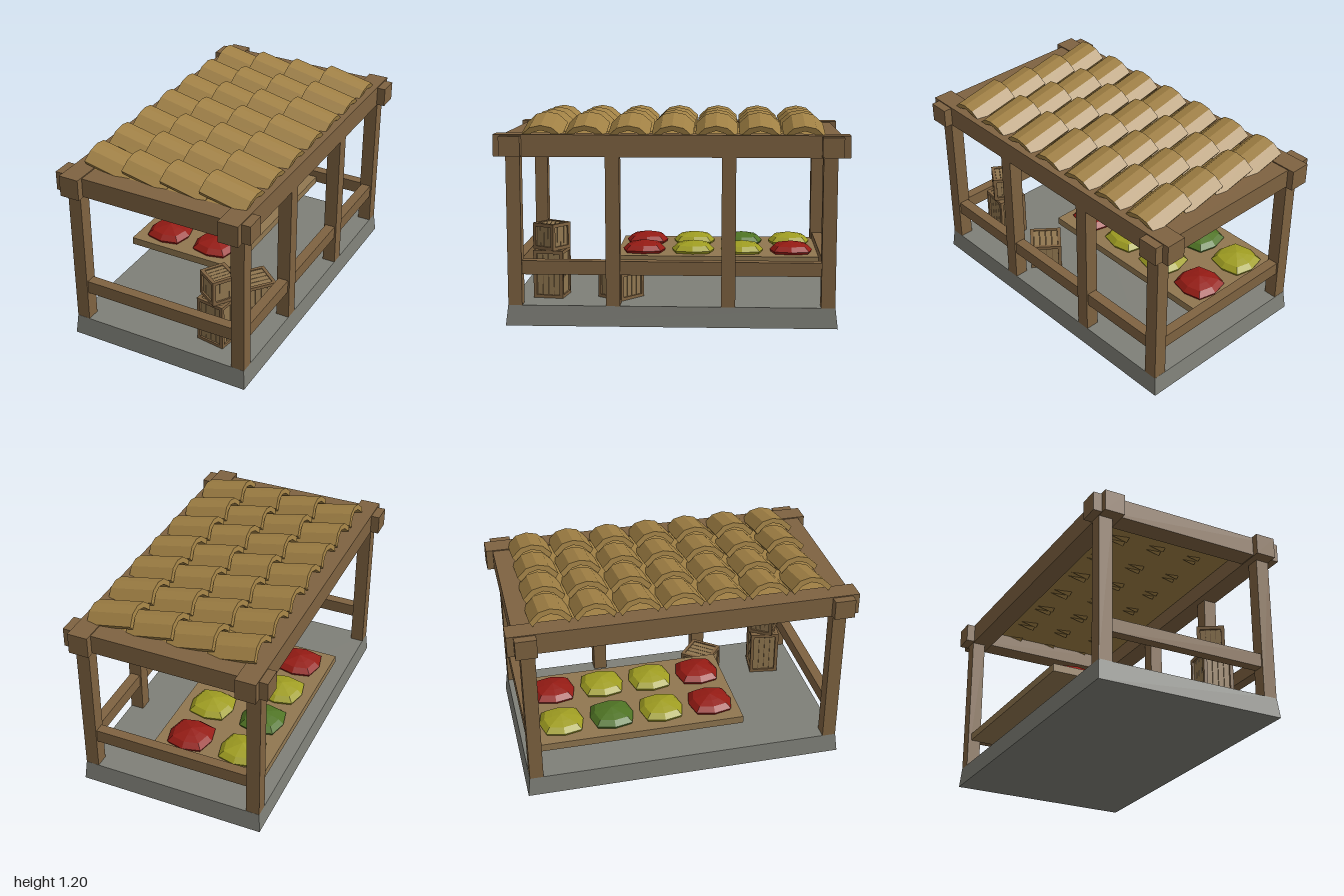
import * as THREE from 'three';

const paint = (color) => new THREE.MeshStandardMaterial({ color, flatShading: true });
const WOOD = paint(0x7f6341), PLANK = paint(0x917750), DARK = paint(0x6a5236), TILE = paint(0xa08044);
const STONE = paint(0x7f8078), RED = paint(0x951b14), YELLOW = paint(0xa09e22), GREEN = paint(0x4f7424);

function add(parent, name, geometry, material, x = 0, y = 0, z = 0) {
  const mesh = new THREE.Mesh(geometry, material);
  mesh.name = name;
  mesh.position.set(x, y, z);
  parent.add(mesh);
  return mesh;
}

// Box given by its lower and upper limits on each axis
function block(parent, name, material, [x0, x1], [y0, y1], [z0, z1]) {
  return add(parent, name, new THREE.BoxGeometry(x1 - x0, y1 - y0, z1 - z0), material,
    (x0 + x1) / 2, (y0 + y1) / 2, (z0 + z1) / 2);
}

// Stone slab that narrows slightly towards the top
function plinth() {
  const g = new THREE.BoxGeometry(1.12, 0.118, 1.89);
  const p = g.attributes.position;
  for (let i = 0; i < p.count; i++) {
    if (p.getY(i) > 0) p.setXYZ(i, p.getX(i) * 0.982, p.getY(i), p.getZ(i) * 0.985);
  }
  g.computeVertexNormals();
  return g;
}

// Arched roof tile running along +x from its high end
function tileGeometry(length) {
  const half = [[0.118, 0.026], [0.064, 0.076], [0, 0.09]];
  const inner = [[0, 0.062], [0.052, 0.046], [0.1, 0]];
  const flip = ([x, y]) => [-x, y];
  const ring = [...half, ...half.slice(0, 2).reverse().map(flip),
    ...inner.slice(1).reverse().map(flip), ...inner];
  const shape = new THREE.Shape(ring.map(([x, y]) => new THREE.Vector2(x, y)));
  const g = new THREE.ExtrudeGeometry(shape, { depth: length, bevelEnabled: false });
  return g.rotateY(Math.PI / 2);
}

// Plump eight-sided heap with a squarish outline
function heapGeometry() {
  const profile = [[0.0, 0], [0.122, 0], [0.13, 0.016], [0.1, 0.044], [0.055, 0.056], [0, 0.068]];
  const g = new THREE.LatheGeometry(profile.map(([r, y]) => new THREE.Vector2(r, y)), 8);
  const p = g.attributes.position;
  for (let i = 0; i < p.count; i++) {
    const x = p.getX(i), z = p.getZ(i);
    const k = Math.abs(x * z) > 1e-5 ? 1.14 : 1;
    p.setXYZ(i, x * k, p.getY(i), z * k);
  }
  g.computeVertexNormals();
  return g;
}

// Crate: dark core, upright planks on four sides and over the lid, framed edges
function crate(s, h, x, y, z, turn) {
  const group = new THREE.Group();
  group.name = 'crate';
  group.position.set(x, y, z);
  group.rotation.y = turn;
  const t = 0.02, half = s / 2, e = half - t / 2;
  const core = s - t * 1.6;
  add(group, 'crateCore', new THREE.BoxGeometry(core, h - t * 1.2, core), DARK, 0, h / 2, 0);
  const n = 4, pitch = (s - 2 * t) / n;
  for (let side = 0; side < 4; side++) {
    const face = new THREE.Group();
    face.name = 'crateSide';
    face.rotation.y = side * Math.PI / 2;
    group.add(face);
    for (let i = 0; i < n; i++) {
      add(face, 'cratePlank', new THREE.BoxGeometry(pitch * 0.92, h - 2 * t, 0.008), PLANK,
        (i - (n - 1) / 2) * pitch, h / 2, core / 2 + 0.002);
    }
    add(face, 'crateCornerPost', new THREE.BoxGeometry(t, h, t), WOOD, e, h / 2, e);
    for (const ry of [t / 2, h - t / 2]) {
      add(face, 'crateEdgeRail', new THREE.BoxGeometry(s - 2 * t, t, t), WOOD, 0, ry, e);
    }
  }
  for (let i = 0; i < n; i++) {
    add(group, 'crateLidPlank', new THREE.BoxGeometry(pitch * 0.92, 0.008, s - 2 * t), PLANK,
      (i - (n - 1) / 2) * pitch, h - t * 0.6 + 0.003, 0);
  }
  return group;
}

export function createModel() {
  const model = new THREE.Group();
  model.name = 'marketStall';

  add(model, 'plinth', plinth(), STONE, 0, 0.059, 0);

  // Corner posts, plus two middle posts on the left side
  const posts = [[-1, 0.89], [-1, -0.89], [1, 0.89], [1, -0.89], [1, 0.33], [1, -0.325]];
  for (const [side, z] of posts) {
    block(model, 'post', WOOD, [side * 0.51 - 0.04, side * 0.51 + 0.04], [0.115, 1.0], [z - 0.04, z + 0.04]);
  }

  // Roof frame with crossing beam ends, and low rails on three sides
  for (const s of [-1, 1]) {
    block(model, 'longBeam', WOOD, [s * 0.49 - 0.06, s * 0.49 + 0.06], [0.97, 1.095], [-1, 1]);
    block(model, 'crossBeam', WOOD, [-0.6, 0.6], [0.976, 1.089], [s * 0.9 - 0.06, s * 0.9 + 0.06]);
    block(model, 'endRail', WOOD, [-0.47, 0.47], [0.296, 0.375], [s * 0.89 - 0.03, s * 0.89 + 0.03]);
  }
  block(model, 'sideRail', WOOD, [0.48, 0.54], [0.296, 0.375], [-0.85, 0.85]);

  // Roof: flat underside and seven rows of four overlapping tiles
  block(model, 'roofPanel', TILE, [-0.44, 0.44], [1.07, 1.088], [-0.85, 0.85]);
  const tile = tileGeometry(0.278);
  for (let row = 0; row < 7; row++) {
    for (let i = 0; i < 4; i++) {
      const t = add(model, 'roofTile', tile, TILE, -0.488 + i * 0.24, 1.105 + i * 0.003, -0.006 + (row - 3) * 0.2465);
      t.rotation.z = -0.21;
    }
  }

  // Display board with eight heaps of produce
  block(model, 'displayBoard', PLANK, [-0.53, 0.15], [0.288, 0.333], [-0.86, 0.35]);
  const heap = heapGeometry();
  const goods = [[RED, RED], [YELLOW, YELLOW], [GREEN, YELLOW], [YELLOW, RED]];
  goods.forEach((pair, i) => pair.forEach((material, j) => {
    add(model, 'produceHeap', heap, material, -0.35 + j * 0.32, 0.332, 0.19 - i * 0.298);
  }));

  // Tall crate with a small one on top, and a third behind
  model.add(
    crate(0.177, 0.284, 0.277, 0.116, 0.715, -0.14),
    crate(0.155, 0.155, 0.277, 0.4, 0.715, -0.576),
    crate(0.19, 0.163, 0.297, 0.116, 0.305, -0.68),
  );
  return model;
}
